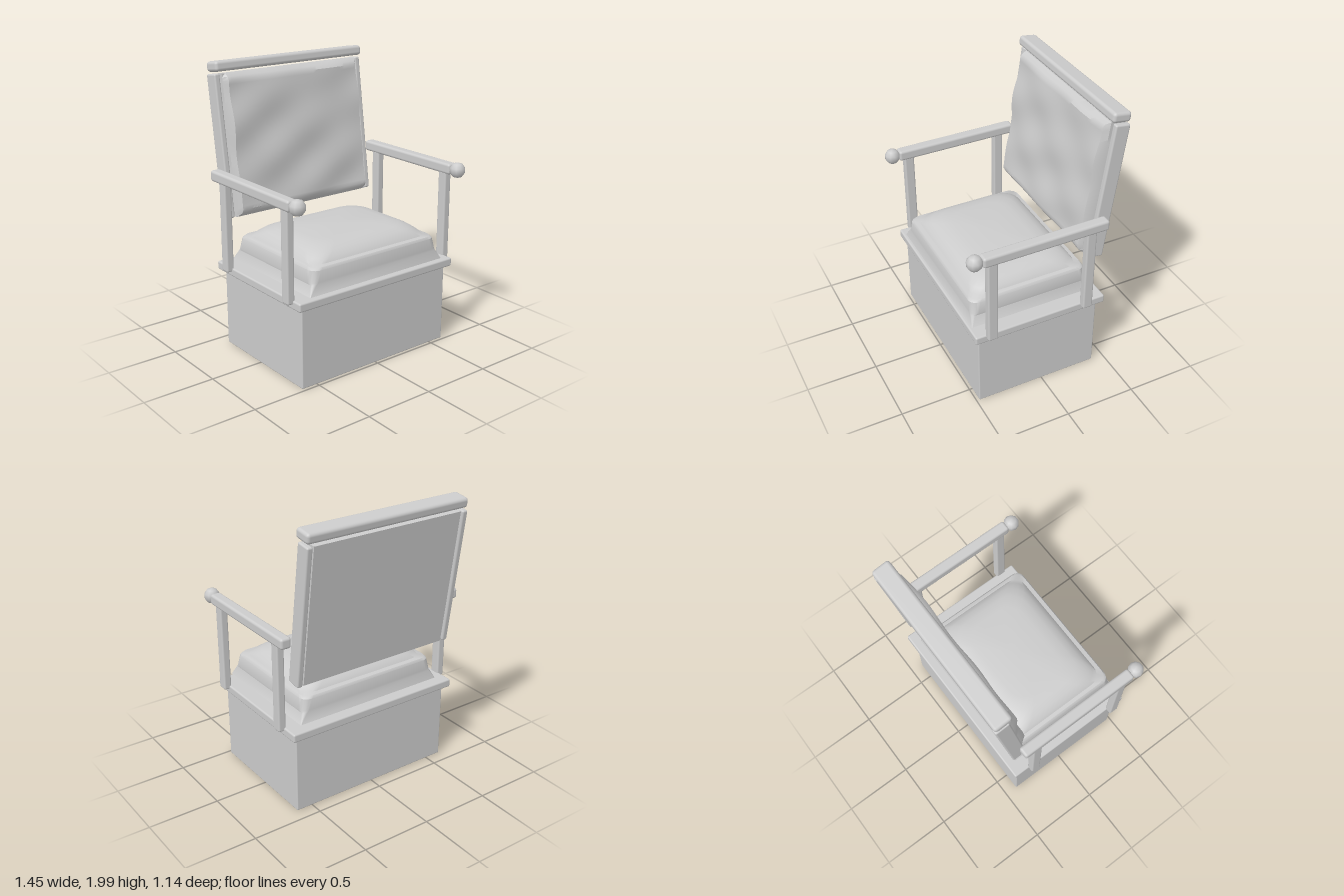
import * as THREE from 'three';
import { RoundedBoxGeometry } from 'three/addons/geometries/RoundedBoxGeometry.js';
import { toCreasedNormals } from 'three/addons/utils/BufferGeometryUtils.js';

const grey = new THREE.MeshStandardMaterial({ color: 0xcccccc });
grey.name = 'plain grey';

function add(parent, name, geometry, x = 0, y = 0, z = 0) {
  const mesh = new THREE.Mesh(geometry, grey);
  mesh.name = name;
  mesh.position.set(x, y, z);
  parent.add(mesh);
  return mesh;
}

// box with softened edges, given by its limits on each axis
function block(parent, name, [x0, x1], [y0, y1], [z0, z1], r = 0.012) {
  const geo = new RoundedBoxGeometry(x1 - x0, y1 - y0, z1 - z0, 2, r);
  return add(parent, name, geo, (x0 + x1) / 2, (y0 + y1) / 2, (z0 + z1) / 2);
}

// stack of rounded rectangles: each ring is [y, half width, half depth, corner radius]
function cushionGeometry(rings, topY, steps = 5) {
  const pos = [], index = [], n = 4 * (steps + 1);
  for (const [y, w, d, r] of rings) {
    [[1, 1], [-1, 1], [-1, -1], [1, -1]].forEach(([sx, sz], c) => {
      for (let i = 0; i <= steps; i++) {
        const a = (c + i / steps) * Math.PI / 2;
        pos.push(sx * (w - r) + r * Math.cos(a), y, sz * (d - r) + r * Math.sin(a));
      }
    });
  }
  const last = rings.length - 1, top = rings.length * n, bottom = top + 1;
  pos.push(0, topY, 0, 0, rings[0][0], 0);
  for (let i = 0; i < n; i++) {
    const j = (i + 1) % n;
    for (let k = 0; k < last; k++) {
      const a = k * n + i, b = k * n + j;
      index.push(a, a + n, b, b, a + n, b + n);
    }
    index.push(last * n + i, top, last * n + j);
    index.push(i, j, bottom);
  }
  const geo = new THREE.BufferGeometry();
  geo.setAttribute('position', new THREE.Float32BufferAttribute(pos, 3));
  geo.setIndex(index);
  return toCreasedNormals(geo, 0.6);
}

// padded back: a box whose front face swells from its rim and ripples softly
function paddedBackGeometry(w, h, d) {
  const geo = new THREE.BoxGeometry(w, h, d, 44, 40, 1);
  const p = geo.attributes.position;
  for (let i = 0; i < p.count; i++) {
    if (p.getZ(i) < 0) continue;
    const x = p.getX(i), y = p.getY(i);
    const rim = Math.min(w / 2 - Math.abs(x), (h / 2 - Math.abs(y)) * 0.7);
    const t = Math.min(1, rim / 0.025);
    const ripple = 0.008 * Math.sin(x * 11 + 1) * Math.sin(y * 12) + 0.005 * Math.cos(x * 7 - y * 17);
    p.setZ(i, p.getZ(i) + t * (0.045 + ripple));
  }
  geo.computeVertexNormals();
  return toCreasedNormals(geo, 0.6);
}

export function createModel() {
  const chair = new THREE.Group();
  chair.name = 'armchair';

  // box plinth and seat board
  block(chair, 'base', [-0.62, 0.62], [0.005, 0.575], [-0.41, 0.48], 0.008);
  block(chair, 'seatBoard', [-0.66, 0.66], [0.56, 0.62], [-0.45, 0.515]);

  // seat cushion: flared skirt, boxed side, domed top
  add(chair, 'seatCushion', cushionGeometry([
    [0.635, 0.567, 0.445, 0.004],
    [0.70, 0.537, 0.43, 0.03],
    [0.715, 0.54, 0.43, 0.05],
    [0.79, 0.527, 0.425, 0.06],
    [0.805, 0.515, 0.415, 0.07],
    [0.81, 0.49, 0.385, 0.09],
    [0.835, 0.475, 0.37, 0.12],
    [0.865, 0.44, 0.335, 0.14],
    [0.888, 0.39, 0.285, 0.14],
    [0.9, 0.32, 0.21, 0.12],
  ], 0.903), 0, 0, 0.055);

  // leaning backrest
  const back = new THREE.Group();
  back.name = 'backrest';
  back.position.set(0, 1.425, -0.45);
  back.rotation.x = -0.139;
  chair.add(back);
  add(back, 'paddedBack', paddedBackGeometry(1.13, 0.97, 0.1), 0, 0, 0.007);
  for (const s of [-1, 1]) {
    add(back, 'backSlat', new RoundedBoxGeometry(0.042, 0.975, 0.106, 2, 0.012), s * 0.597, 0, 0);
  }
  const rail = block(chair, 'topRail', [-0.618, 0.618], [1.923, 1.993], [-0.572, -0.442], 0.022);
  rail.rotation.x = -0.139;

  // armrests with their posts and knobs
  for (const s of [-1, 1]) {
    const arm = new THREE.Group();
    arm.name = s > 0 ? 'leftArm' : 'rightArm';
    chair.add(arm);
    const span = (a, b) => (s > 0 ? [a, b] : [-b, -a]);
    block(arm, 'armRail', span(0.637, 0.714), [1.215, 1.29], [-0.412, 0.477], 0.018);
    block(arm, 'frontPost', span(0.642, 0.697), [0.595, 1.23], [0.37, 0.441]);
    block(arm, 'rearPost', span(0.642, 0.697), [0.595, 1.23], [-0.332, -0.261]);
    add(arm, 'armKnob', new THREE.SphereGeometry(0.055, 10, 5), s * 0.674, 1.255, 0.521);
  }
  return chair;
}
